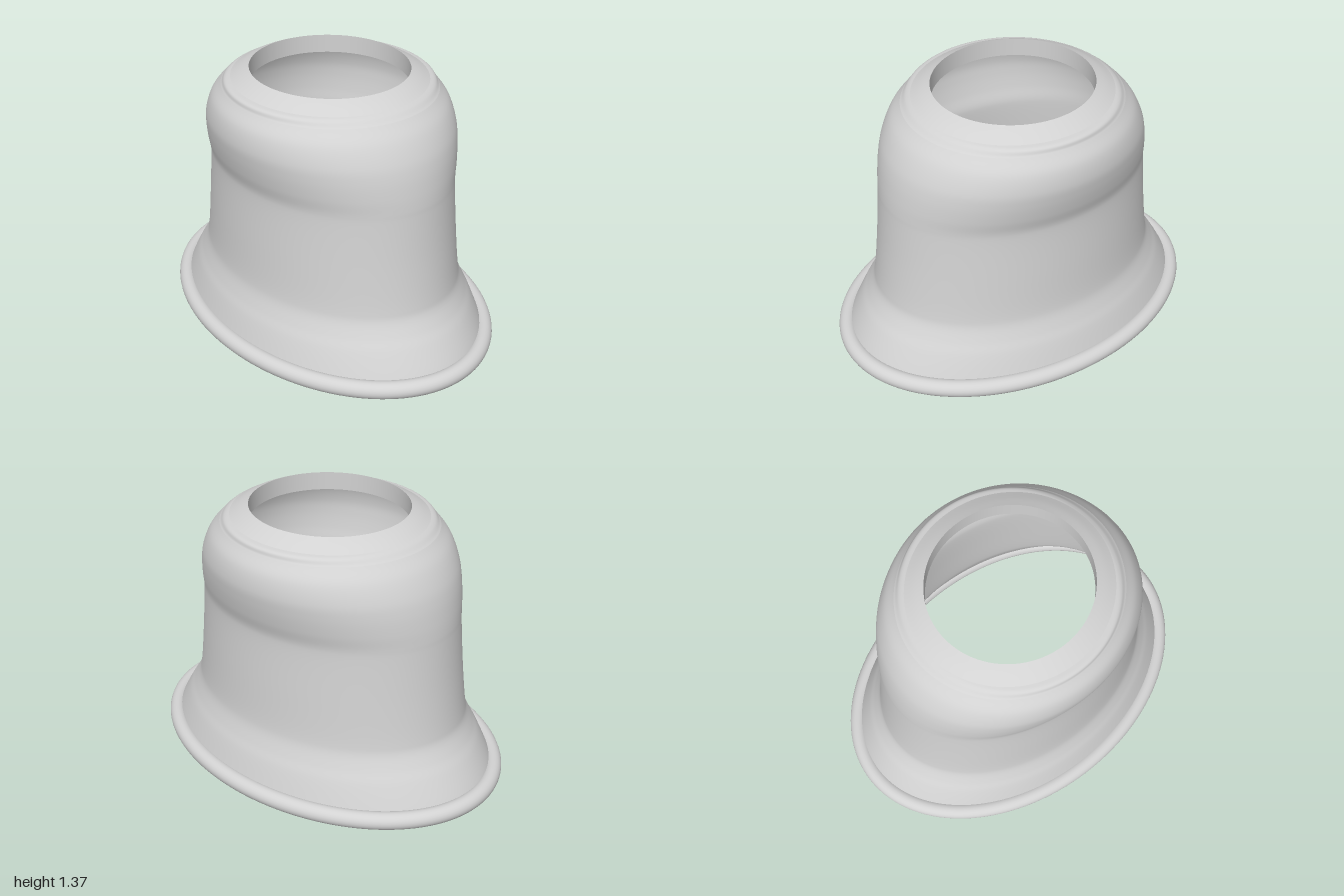
import * as THREE from 'three';

const SEGMENTS = 128;
const THICKNESS = 0.012;

// Skin a list of elliptical sections (x = half width, y = height, z = half depth).
// Sections listed upward face outward; listed downward they face inward.
function loft(sections) {
  const positions = [], index = [];
  for (const s of sections) {
    for (let j = 0; j < SEGMENTS; j++) {
      const a = (j / SEGMENTS) * Math.PI * 2;
      positions.push(s.x * Math.cos(a), s.y, s.z * Math.sin(a));
    }
  }
  for (let r = 0; r < sections.length - 1; r++) {
    for (let j = 0; j < SEGMENTS; j++) {
      const k = (j + 1) % SEGMENTS;
      const a = r * SEGMENTS + j, c = r * SEGMENTS + k;
      const b = a + SEGMENTS, d = c + SEGMENTS;
      index.push(a, b, c, b, d, c);
    }
  }
  const geometry = new THREE.BufferGeometry();
  geometry.setAttribute('position', new THREE.Float32BufferAttribute(positions, 3));
  geometry.setIndex(index);
  geometry.computeVertexNormals();
  return geometry;
}

// Smooth run of sections through [half width, height, half depth] stations
function smooth(stations, count) {
  const points = stations.map((p) => new THREE.Vector3(...p));
  return new THREE.CatmullRomCurve3(points, false, 'centripetal').getPoints(count);
}

export function createModel() {
  const group = new THREE.Group();
  const grey = new THREE.MeshStandardMaterial({ color: 0xd2d2d2 });
  grey.name = 'light grey';

  const add = (name, sections) => {
    const mesh = new THREE.Mesh(loft(sections), grey);
    mesh.name = name;
    group.add(mesh);
  };

  // Outer wall: flared skirt, waist, bulging shoulder
  const wall = [
    [0.945, 0.05, 0.672], [0.926, 0.09, 0.66], [0.862, 0.2, 0.625],
    [0.822, 0.26, 0.6], [0.785, 0.33, 0.576], [0.774, 0.38, 0.568],
    [0.745, 0.6, 0.555], [0.722, 0.85, 0.544], [0.719, 0.89, 0.547],
    [0.71, 0.96, 0.566], [0.692, 1.05, 0.584], [0.669, 1.12, 0.59],
    [0.62, 1.21, 0.573], [0.557, 1.28, 0.528],
  ];
  add('outerWall', smooth(wall, 90));

  // Small step around the shoulder, fading toward the sides, then the sloping crown
  add('shoulderStep', smooth([
    [0.557, 1.28, 0.528], [0.546, 1.288, 0.523], [0.527, 1.304, 0.518],
    [0.513, 1.312, 0.507], [0.503, 1.317, 0.482],
  ], 16));
  add('crown', smooth([
    [0.503, 1.317, 0.482], [0.456, 1.343, 0.435], [0.406, 1.365, 0.392],
  ], 10));

  // Turned-down flange of the top opening, front and back
  add('openingFlange', smooth([[0.406, 1.365, 0.392], [0.406, 1.27, 0.392]], 4));
  add('flangeBack', smooth([[0.406, 1.27, 0.392], [0.418, 1.275, 0.404], [0.418, 1.345, 0.404]], 6));

  // Inner skin of the thin shell, running downward so that it faces inward
  add('innerCrown', smooth([
    [0.418, 1.345, 0.404], [0.46, 1.325, 0.436], [0.503, 1.302, 0.472],
    [0.545, 1.272, 0.516],
  ], 16));
  const inset = wall.map(([x, y, z]) => [x - THICKNESS, y, z - THICKNESS]);
  add('innerWall', smooth(inset.reverse(), 90));

  // Rolled rim around the foot
  const rim = [];
  for (let i = 0; i <= 24; i++) {
    const t = -Math.PI + (i / 24) * Math.PI * 2;
    const out = 0.045 * Math.cos(t);
    rim.push({ x: 0.955 + out, y: 0.045 + 0.045 * Math.sin(t), z: 0.68 + out });
  }
  add('rolledRim', rim);

  return group;
}
